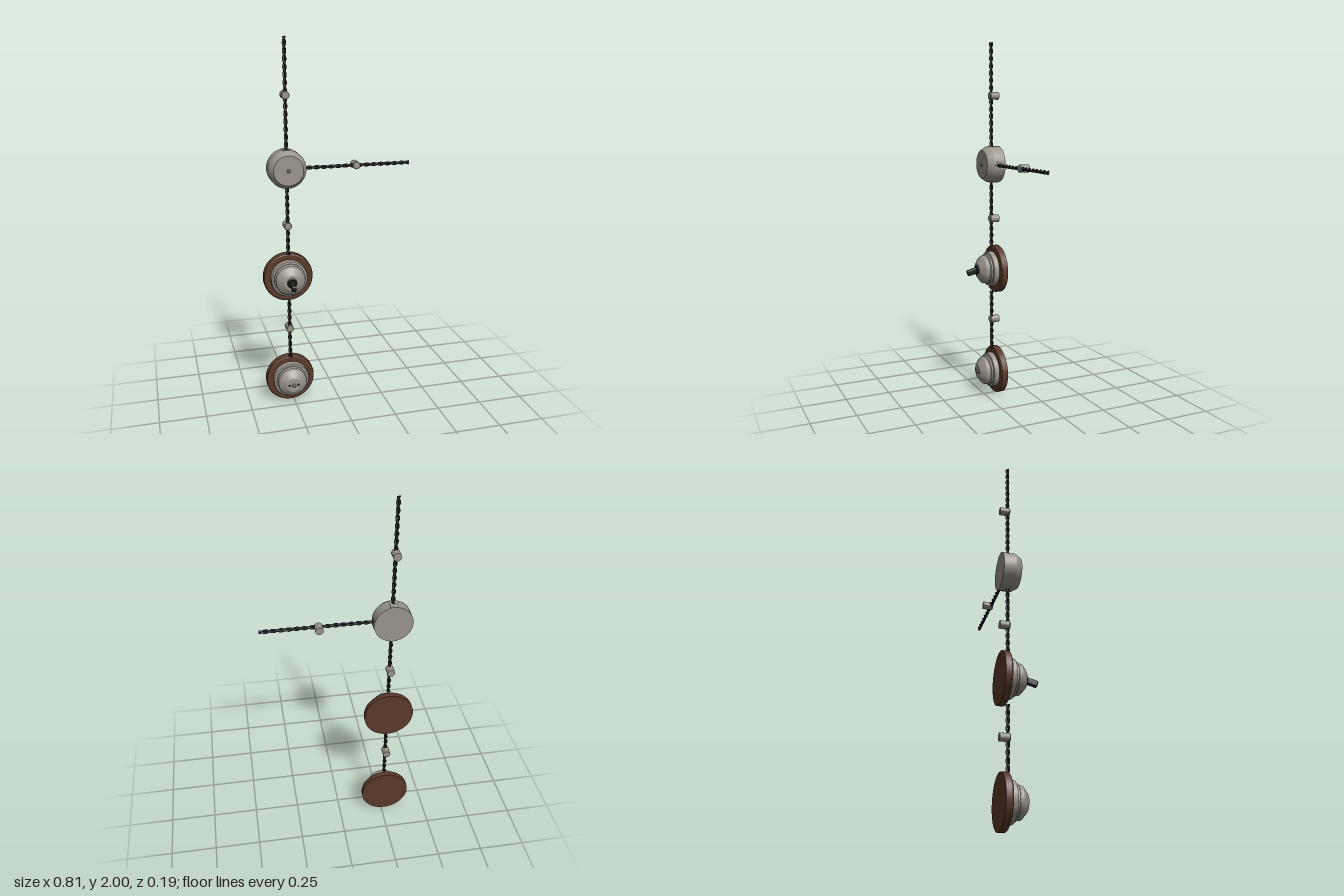
import * as THREE from 'three';
import { toCreasedNormals } from 'three/addons/utils/BufferGeometryUtils.js';
import { RoundedBoxGeometry } from 'three/addons/geometries/RoundedBoxGeometry.js';

const material = (name, color) => {
  const m = new THREE.MeshStandardMaterial({ color });
  m.name = name;
  return m;
};

const COLUMN_X = -0.268, WALL_Z = -0.1, CABLE_Z = -0.058;

export function createModel() {
  const ceramic = material('ceramic grey', 0x99948a);
  const wood = material('brown wood', 0x5a3929);
  const black = material('black cable and knob', 0x1f1e1d);
  const model = new THREE.Group();
  model.name = 'surfaceWiring';

  const add = (parent, name, geometry, mat, x = 0, y = 0, z = 0) => {
    const mesh = new THREE.Mesh(geometry, mat);
    mesh.name = name;
    mesh.position.set(x, y, z);
    parent.add(mesh);
    return mesh;
  };
  const group = (name, x, y) => {
    const g = new THREE.Group();
    g.name = name;
    g.position.set(x, y, 0);
    model.add(g);
    return g;
  };
  // Turned part facing +z; profile is [radius, z] from back to front
  const turned = (profile, segments = 48) => {
    const g = new THREE.LatheGeometry(profile.map(([r, z]) => new THREE.Vector2(r, z)), segments);
    g.rotateX(Math.PI / 2);
    return toCreasedNormals(g, 0.3);
  };
  const screw = (parent, z) =>
    add(parent, 'screw', turned([[0.01, z], [0.01, z + 0.005], [0.006, z + 0.009], [0, z + 0.01]], 16), ceramic);

  // Twisted two-strand cable
  const cable = (name, from, to) => {
    const axis = to.clone().sub(from);
    const length = axis.length();
    axis.normalize();
    const side = new THREE.Vector3(axis.y, axis.x, 0);
    const out = new THREE.Vector3(0, 0, 1);
    const steps = Math.ceil(length / 0.0065);
    const g = group(name, 0, 0);
    for (let s = 0; s < 2; s++) {
      const points = [];
      for (let i = 0; i <= steps; i++) {
        const d = (i / steps) * length;
        const a = (d / 0.078) * Math.PI * 2 + s * Math.PI;
        points.push(from.clone().addScaledVector(axis, d)
          .addScaledVector(side, Math.cos(a) * 0.0055)
          .addScaledVector(out, Math.sin(a) * 0.0055));
      }
      const curve = new THREE.CatmullRomCurve3(points);
      add(g, 'strand', new THREE.TubeGeometry(curve, steps * 2, 0.0055, 8), black);
      // Strand ends
      for (const t of [0, 1]) {
        const p = points[t * steps];
        add(g, 'strandEnd', new THREE.SphereGeometry(0.0053, 8, 6), black, p.x, p.y, p.z)
          .scale.set(1 - 0.6 * Math.abs(axis.x), 1 - 0.6 * Math.abs(axis.y), 1);
      }
    }
  };
  const point = (x, y) => new THREE.Vector3(x, y, CABLE_Z);
  cable('upperCable', point(COLUMN_X, 1.42), point(COLUMN_X, 1.998));
  cable('middleCable', point(COLUMN_X, 0.868), point(COLUMN_X, 1.25));
  cable('lowerCable', point(COLUMN_X, 0.268), point(COLUMN_X, 0.605));
  cable('branchCable', point(-0.183, 1.335), point(0.402, 1.335));

  // Cable stand-offs
  for (const [x, y] of [[COLUMN_X, 1.712], [COLUMN_X, 1.027], [COLUMN_X, 0.44], [0.107, 1.335]]) {
    const g = group('standoff', x, y);
    add(g, 'standoffBody', turned([[0, WALL_Z], [0.021, WALL_Z], [0.021, -0.05], [0.018, -0.046], [0, -0.045]], 24), ceramic);
  }

  // Junction box with three cable entries
  const box = group('junctionBox', COLUMN_X, 1.335);
  add(box, 'boxBody', turned([[0, WALL_Z], [0.1, WALL_Z], [0.1, -0.033], [0.092, -0.02],
    [0.082, -0.004], [0.078, 0], [0, 0]]), ceramic);
  screw(box, 0);
  for (const [x, y] of [[0, 1], [0, -1], [1, 0]]) {
    const turn = x ? Math.PI / 2 : 0;
    add(box, 'cableEntry', new THREE.BoxGeometry(0.04, 0.02, 0.04), ceramic, x * 0.091, y * 0.091, -0.08).rotation.z = turn;
    add(box, 'cableEntryRim', new THREE.CylinderGeometry(0.02, 0.02, 0.02, 24), ceramic, x * 0.091, y * 0.091, -0.06).rotation.z = turn;
  }

  // Wooden back plate and stepped ceramic cover, shared by switch and socket
  const fitting = (name, y) => {
    const g = group(name, COLUMN_X, y);
    add(g, 'backPlate', turned([[0, WALL_Z], [0.135, WALL_Z], [0.135, -0.072], [0.132, -0.066],
      [0.126, -0.063], [0, -0.063]], 64), wood);
    add(g, 'coverBase', turned([[0.1, -0.064], [0.1, -0.04], [0.097, -0.034], [0.09, -0.032], [0, -0.032]]), ceramic);
    add(g, 'cover', turned([[0.086, -0.033], [0.086, -0.022], [0.079, -0.018], [0.079, -0.002], [0.075, 0.005],
      [0.046, 0.028], [0.04, 0.031], [0, 0.031]]), ceramic);
    return g;
  };

  // Rotary switch
  const rotary = fitting('rotarySwitch', 0.737);
  add(rotary, 'knobCollar', turned([[0.026, 0.03], [0.026, 0.036], [0.022, 0.039], [0, 0.039]], 32), black);
  const knob = add(rotary, 'knob', new RoundedBoxGeometry(0.025, 0.034, 0.066, 3, 0.008), black, 0, -0.007, 0.06);
  knob.rotation.x = 0.27;

  // Wall socket
  const socket = fitting('wallSocket', 0.136);
  screw(socket, 0.031);
  for (const s of [-1, 1]) {
    add(socket, 'pinHole', turned([[0.007, 0.031], [0.007, 0.0318], [0, 0.0318]], 16), black, s * 0.025);
  }

  return model;
}
